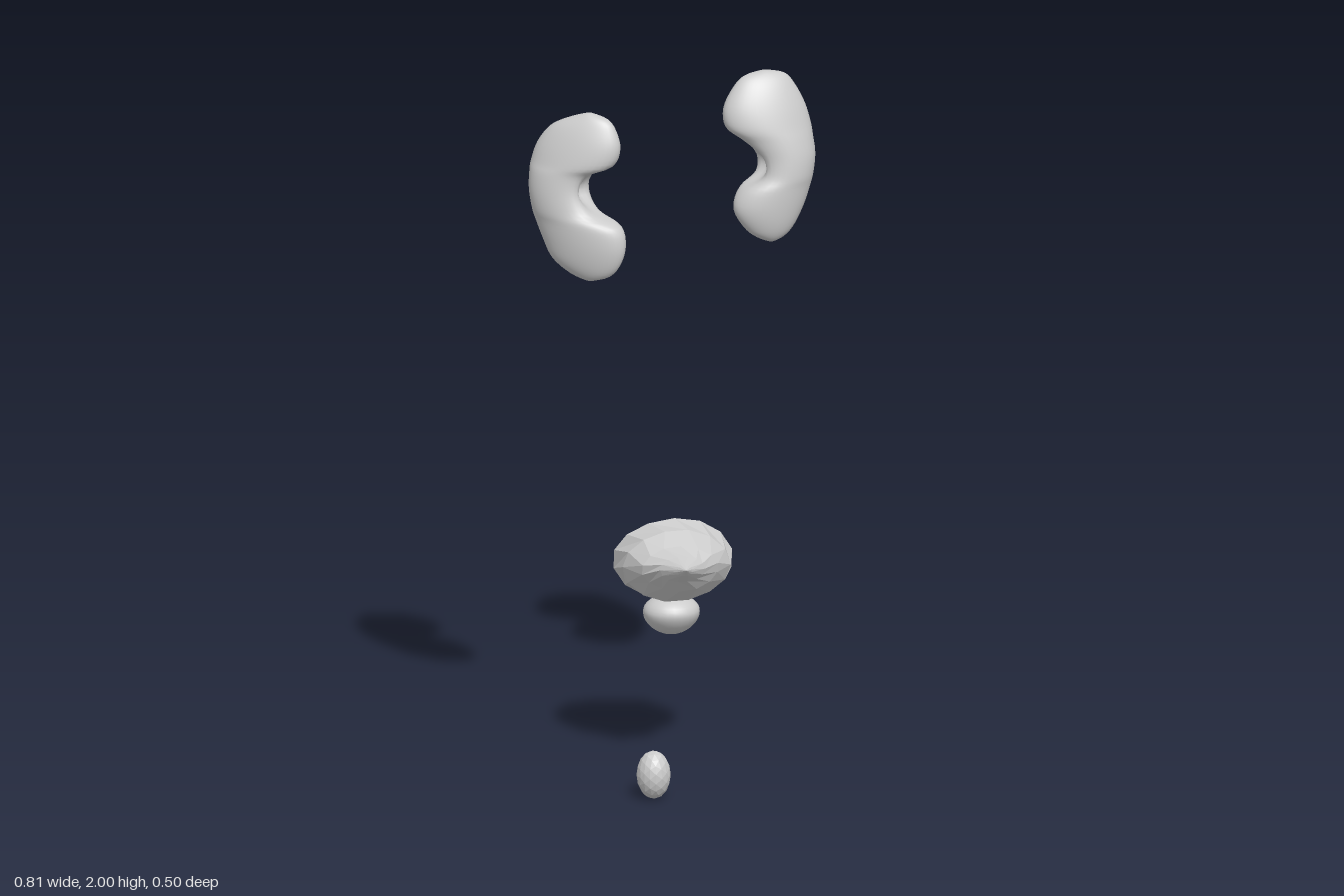
import * as THREE from 'three';
import { mergeVertices } from 'three/addons/utils/BufferGeometryUtils.js';

// Closed surface from rings: point(u, angle) with u running 0..1 along the body
function surface(point, rings, sides) {
  const pos = [], index = [];
  for (let i = 0; i <= rings; i++) {
    for (let j = 0; j < sides; j++) {
      pos.push(...point(i / rings, (j / sides) * Math.PI * 2, i));
    }
  }
  for (let i = 0; i < rings; i++) {
    for (let j = 0; j < sides; j++) {
      const k = (j + 1) % sides;
      const a = i * sides + j, b = i * sides + k, c = a + sides, d = b + sides;
      index.push(a, b, c, b, d, c);
    }
  }
  let geo = new THREE.BufferGeometry();
  geo.setAttribute('position', new THREE.Float32BufferAttribute(pos, 3));
  geo.setIndex(index);
  geo = mergeVertices(geo, 1e-5);
  geo.computeVertexNormals();
  return geo;
}

// Kidney: outline rows [y, xMin, xMax], a notch on the inner side and a hollow inside it
function kidneyGeometry({ rows, widen, thick, turn, slope, z, notchY, inner }) {
  const curve = new THREE.CatmullRomCurve3(rows.map((r) => new THREE.Vector3(...r)));
  const top = rows[0][0], bottom = rows[rows.length - 1][0];
  const cy = (top + bottom) / 2, hy = (top - bottom) / 2;
  const cx = (Math.min(...rows.map((r) => r[1])) + Math.max(...rows.map((r) => r[2]))) / 2;
  const cos = Math.cos(turn), sin = Math.sin(turn);
  return surface((u, a) => {
    const p = curve.getPoint(u);
    const s = Math.min(1, Math.abs((p.x - cy) / hy));
    const mid = (p.y + p.z) / 2 - cx, half = (p.z - p.y) / 2;
    let x = mid + half * Math.cos(a);
    const depth = thick * Math.sqrt(1 - s * s) * Math.sin(a);
    if (Math.cos(a) * inner > 0) {
      x -= inner * 0.045 * Math.exp(-(((p.x - notchY) / 0.05) ** 2) - (Math.sin(a) / 0.45) ** 2);
    }
    x *= widen;
    return [cx + x * cos + depth * sin, p.x, z - x * sin + depth * cos + slope * (p.x - cy)];
  }, 48, 36);
}

const leftKidney = {
  rows: [[2, .265, .265], [1.985, .2, .325], [1.955, .17, .35], [1.9, .142, .378], [1.85, .147, .392],
    [1.81, .19, .398], [1.76, .222, .403], [1.71, .222, .396], [1.675, .18, .387], [1.62, .165, .367],
    [1.56, .2, .333], [1.535, .235, .305], [1.522, .27, .27]],
  widen: 1.01, thick: 0.074, turn: 0.18, slope: -0.17, z: -0.143, notchY: 1.74, inner: -1,
};
const rightKidney = {
  rows: [[1.915, -.24, -.24], [1.9, -.285, -.19], [1.87, -.342, -.168], [1.82, -.38, -.158], [1.77, -.397, -.175],
    [1.74, -.402, -.225], [1.69, -.404, -.235], [1.635, -.397, -.215], [1.6, -.388, -.158], [1.55, -.37, -.148],
    [1.5, -.348, -.16], [1.46, -.3, -.19], [1.44, -.245, -.245]],
  widen: 1.12, thick: 0.066, turn: -0.54, slope: -0.13, z: -0.105, notchY: 1.69, inner: 1,
};

// Bladder rows from back to front: [z, half width, bottom y, top y]
const bladderRows = [
  [-.25, 0, .61, .61], [-.25, .075, .565, .655], [-.225, .125, .53, .68], [-.15, .17, .477, .712],
  [-.07, .152, .492, .7], [0, .11, .543, .672], [.05, .063, .583, .657], [.1, .021, .615, .647], [.13, 0, .64, .64],
];

function bladderGeometry() {
  return surface((u, a, i) => {
    const [z, w, lo, hi] = bladderRows[i];
    const t = a + (i % 2) * 0.2;
    const wobble = w > 0.1 ? 0.008 * Math.sin(i * 5 + a * 3) : 0;
    return [w * Math.cos(t), (lo + hi) / 2 + ((hi - lo) / 2) * Math.sin(t), z + wobble];
  }, bladderRows.length - 1, 14);
}

// Prostate: rounded chestnut, fuller above and narrowing below
function prostateGeometry() {
  return surface((u, a) => {
    const t = u * Math.PI, y = Math.cos(t);
    const r = Math.sin(t) * (1 + 0.06 * y);
    return [-0.007 + 0.08 * r * Math.cos(a), 0.445 + y * (y > 0 ? 0.05 : 0.063),
      -0.127 + 0.073 * r * Math.sin(a) + (y < 0 ? 0.012 * y * r : 0)];
  }, 18, 24);
}

export function createModel() {
  const group = new THREE.Group();
  const tissue = new THREE.MeshStandardMaterial({ color: 0xcccccc });
  tissue.name = 'pale grey';
  const faceted = (geo) => {
    const flat = geo.index ? geo.toNonIndexed() : geo;
    flat.computeVertexNormals();
    return flat;
  };
  const add = (name, geo) => {
    const mesh = new THREE.Mesh(geo, tissue);
    mesh.name = name;
    group.add(mesh);
    return mesh;
  };

  add('leftKidney', kidneyGeometry(leftKidney));
  add('rightKidney', kidneyGeometry(rightKidney));
  add('bladder', faceted(bladderGeometry()));
  add('prostate', prostateGeometry());

  // Testis: small faceted egg
  const egg = new THREE.IcosahedronGeometry(1, 2);
  egg.scale(0.048, 0.069, 0.053);
  egg.translate(-0.102, 0.069, 0.197);
  add('testis', faceted(egg));
  return group;
}
